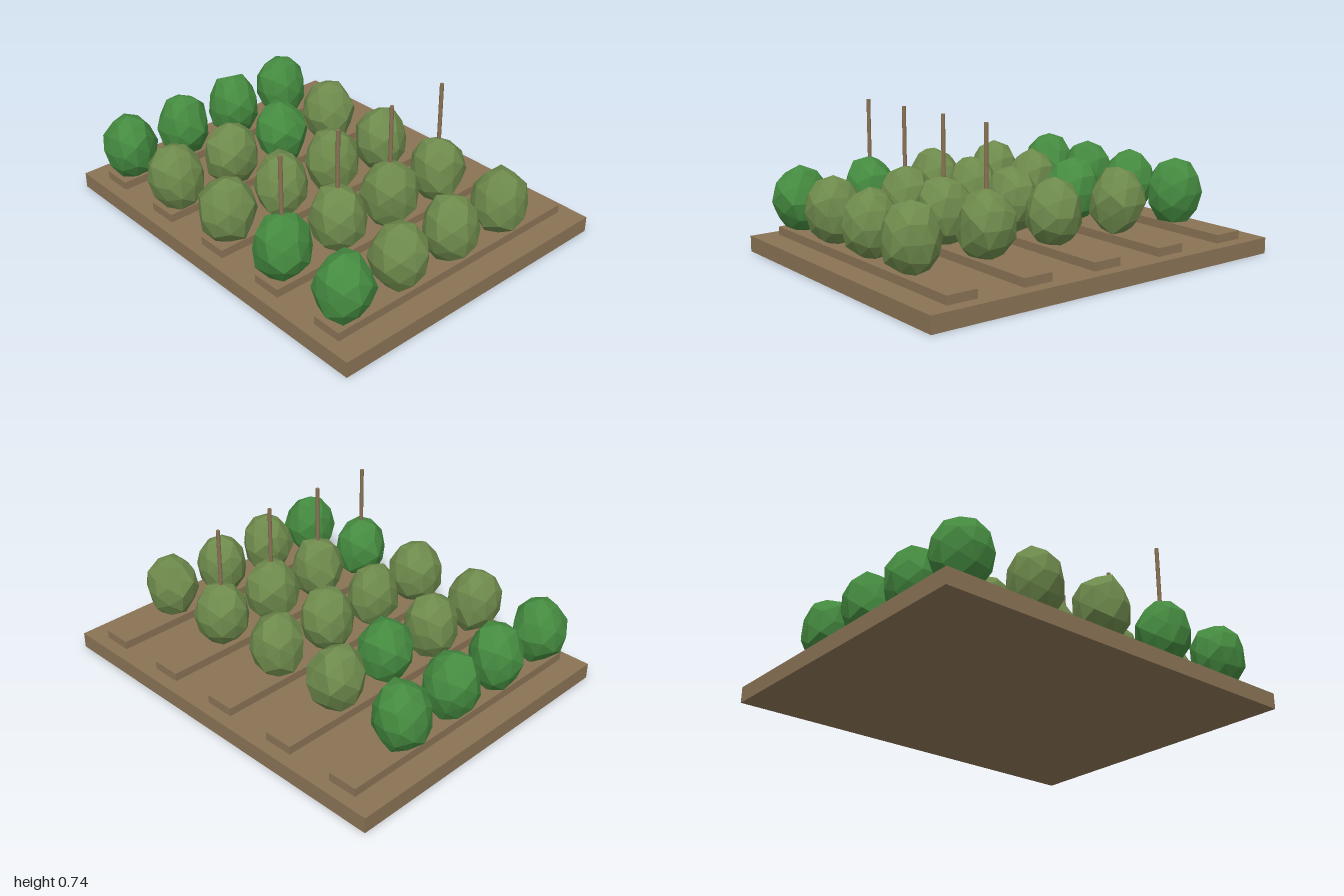
import * as THREE from 'three';

const wood = new THREE.MeshStandardMaterial({ color: 0x8b7355, name: 'wood brown' });
const green = new THREE.MeshStandardMaterial({ color: 0x458b40, name: 'leaf green' });
const olive = new THREE.MeshStandardMaterial({ color: 0x6e8a4c, name: 'olive green' });
green.flatShading = olive.flatShading = true;

// small seeded random generator
function seeded(seed) {
  let s = seed * 7919 + 17;
  return () => {
    s = (s * 16807) % 2147483647;
    return s / 2147483647;
  };
}

// faceted bush: a stretched icosphere with each corner nudged in or out
function bushGeometry(seed) {
  const rand = seeded(seed);
  for (let i = 0; i < 5; i++) rand();
  const geo = new THREE.IcosahedronGeometry(1, 1);
  const pos = geo.attributes.position;
  const nudges = new Map();
  const v = new THREE.Vector3();
  for (let i = 0; i < pos.count; i++) {
    v.fromBufferAttribute(pos, i);
    const key = [v.x, v.y, v.z].map(n => Math.round(n * 100)).join();
    if (!nudges.has(key)) nudges.set(key, 0.93 + rand() * 0.14);
    const vertical = Math.abs(v.y) > 0.95 ? 1 : nudges.get(key);
    v.multiplyScalar(vertical);
    pos.setXYZ(i, v.x, v.y, v.z);
  }
  geo.rotateY(rand() * Math.PI * 2);
  geo.scale(0.137, 0.172, 0.137);
  geo.computeVertexNormals();
  return geo;
}

export function createModel() {
  const model = new THREE.Group();
  model.name = 'plantingBed';

  const add = (name, geo, mat, x, y, z) => {
    const mesh = new THREE.Mesh(geo, mat);
    mesh.name = name;
    mesh.position.set(x, y, z);
    model.add(mesh);
  };

  // soil slab
  add('base', new THREE.BoxGeometry(1.6, 0.08, 2), wood, 0, 0.04, 0);

  const rowGeo = new THREE.BoxGeometry(1.467, 0.042, 0.155);
  const stakeGeo = new THREE.CylinderGeometry(0.01, 0.01, 0.615, 8);
  const columns = [-0.635, -0.303, 0.03, 0.363];
  // one letter per bush: g = leaf green, o = olive
  const rows = ['gggg', 'oogo', 'oooo', 'gooo', 'gooo'];

  rows.forEach((colours, r) => {
    const z = -0.8 + r * 0.4;
    add('ridge', rowGeo, wood, 0, 0.101, z);
    columns.forEach((x, c) => {
      const mat = colours[c] === 'g' ? green : olive;
      add('bush', bushGeometry(r * 4 + c + 1), mat, x, 0.27, z);
      // support stakes stand in one row only
      if (r === 3) add('stake', stakeGeo, wood, x, 0.4275, z);
    });
  });

  return model;
}
